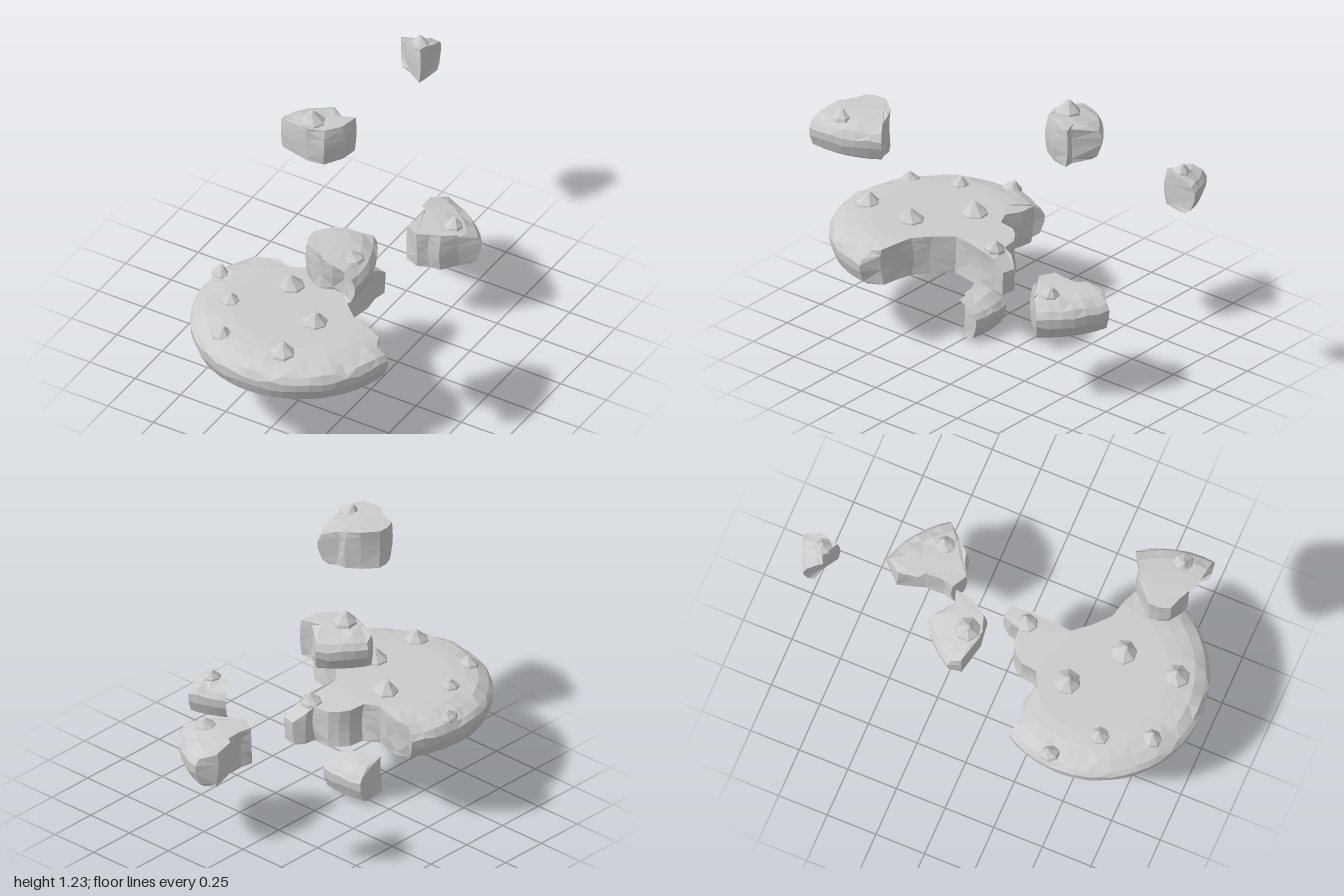
import * as THREE from 'three';

const material = new THREE.MeshStandardMaterial({ color: 0xcccccc, flatShading: true, side: THREE.DoubleSide });
const RADIUS = 0.525;

// Biscuit cross-section from the base up to the flat top: x is radius, y is height
const PROFILE = [[0.47, 0], [0.5, 0.02], [0.522, 0.075], [RADIUS, 0.12], [0.505, 0.15], [0.455, 0.175], [0.39, 0.19], [0.33, 0.196]]
  .map(([r, y]) => new THREE.Vector2(r, y));

// Height of the domed top at a given radius
function topAt(r) {
  for (let i = 3; i < PROFILE.length - 1; i++) {
    const lower = PROFILE[i], upper = PROFILE[i + 1];
    if (r >= upper.x) {
      const t = THREE.MathUtils.clamp((lower.x - r) / (lower.x - upper.x), 0, 1);
      return THREE.MathUtils.lerp(lower.y, upper.y, t);
    }
  }
  return 0.196;
}

// Repeatable noise in -1..1
function noise(n) {
  const s = Math.sin(n * 127.1 + 11.7) * 43758.5453;
  return (s - Math.floor(s)) * 2 - 1;
}

// Outline of a fragment: an arc of the rim, then the break, with long breaks split roughly in two
function outline(cz, from, to, broken) {
  const points = [];
  const steps = Math.max(4, Math.ceil(Math.abs(to - from) / 7));
  for (let i = 0; i <= steps; i++) {
    const a = THREE.MathUtils.degToRad(from + (to - from) * i / steps);
    points.push({ x: Math.sin(a) * RADIUS, z: Math.cos(a) * RADIUS, rim: true });
  }
  broken.forEach(([x, z], i) => {
    const p = { x, z: z - cz, rim: false }, last = points[points.length - 1];
    if (i > 0 && Math.hypot(p.x - last.x, p.z - last.z) > 0.1) {
      points.push({
        x: (p.x + last.x) / 2 + 0.012 * noise(i + cz),
        z: (p.z + last.z) / 2 + 0.012 * noise(i + cz + 7),
        rim: false,
      });
    }
    points.push(p);
  });
  // counter-clockwise seen from above
  if (THREE.ShapeUtils.area(points.map(p => new THREE.Vector2(p.x, -p.z))) < 0) points.reverse();
  return points;
}

// Solid with a rounded rim and a rough broken wall; minR limits how far the rim slopes in
function fragmentGeometry(points, seed, minR, rough) {
  const pos = [], index = [], n = points.length, layers = PROFILE.length;
  for (const { x: radius, y } of PROFILE) {
    points.forEach((p, i) => {
      const r = Math.hypot(p.x, p.z);
      if (p.rim) {
        const wobble = y > 0.03 && y < 0.18 ? 0.008 * noise(seed + i + y * 90) : 0;
        const k = Math.max(radius, minR);
        pos.push(p.x * k / r, Math.min(y, topAt(k)) + wobble, p.z * k / r);
      } else {
        const h = Math.min(y, topAt(r)), t = h / 0.2, id = seed + i * 3;
        const bulge = Math.sin(Math.PI * t);
        const push = rough * (noise(id) * bulge + noise(id + 1) * (t - 0.5));
        pos.push(p.x + rough * noise(id + 2) * bulge, h, p.z + push);
      }
    });
  }
  for (let l = 0; l < layers - 1; l++) {
    for (let i = 0; i < n; i++) {
      const j = (i + 1) % n, a = l * n + i, b = l * n + j, c = b + n, d = a + n;
      if ((i + l) % 2) index.push(a, b, c, a, c, d);
      else index.push(a, b, d, b, c, d);
    }
  }
  // flat base and top
  const cap = layer => THREE.ShapeUtils.triangulateShape(points.map((_, i) => {
    const k = (layer * n + i) * 3;
    return new THREE.Vector2(pos[k], -pos[k + 2]);
  }), []);
  const top = (layers - 1) * n;
  cap(layers - 1).forEach(([a, b, c]) => index.push(top + a, top + b, top + c));
  cap(0).forEach(([a, b, c]) => index.push(c, b, a));

  const geometry = new THREE.BufferGeometry();
  geometry.setAttribute('position', new THREE.Float32BufferAttribute(pos, 3));
  geometry.setIndex(index);
  const flat = geometry.toNonIndexed();
  flat.computeVertexNormals();
  return flat;
}

// Pointed chip with a lopsided tip, leaning outward where the top curves down
function chip(x, z, radius, seed) {
  const height = radius * 0.9;
  const profile = [[1, -0.25], [0.92, 0.12], [0.5, 0.55], [0.2, 0.93], [0, 1]];
  const geometry = new THREE.LatheGeometry(profile.map(([r, y]) => new THREE.Vector2(r * radius, y * height)), 7);
  const p = geometry.attributes.position;
  for (let i = 0; i < p.count; i++) {
    const t = Math.max(0, p.getY(i) / height);
    p.setX(i, p.getX(i) + t * 0.012 * noise(seed));
    p.setZ(i, p.getZ(i) + t * 0.012 * noise(seed + 1));
  }
  geometry.computeVertexNormals();
  const mesh = new THREE.Mesh(geometry, material);
  mesh.name = 'chip';
  const r = Math.hypot(x, z);
  mesh.position.set(x, topAt(r), z);
  const lean = Math.max(0, r - 0.36) * 2.5;
  mesh.rotation.set(lean * z / r, seed, -lean * x / r);
  return mesh;
}

// One fragment; cz is the centre of its rim, the arc is in degrees from the front,
// broken points are [x, z] and chips are [x, z, radius]
function fragment(name, { base, cz, from, to, broken, chips = [], minR = 0.33, rough = 0.014 }) {
  const seed = Math.round(cz * 100);
  const group = new THREE.Group();
  group.name = name;
  group.position.set(0, base, cz);
  const body = new THREE.Mesh(fragmentGeometry(outline(cz, from, to, broken), seed, minR, rough), material);
  body.name = name + 'Body';
  group.add(body);
  chips.forEach(([x, z, r], i) => group.add(chip(x, z - cz, r, seed + i * 5)));
  return group;
}

export function createModel() {
  const model = new THREE.Group();
  model.name = 'brokenBiscuit';
  const middle = 0.35, upper = 0.982;
  model.add(
    fragment('mainBiscuit', {
      base: middle, cz: 0.475, from: 83, to: -122,
      broken: [[-0.4, 0.23], [-0.28, 0.21], [-0.2, 0.24], [-0.13, 0.2], [-0.12, 0.12], [-0.04, 0.05], [0.04, 0.05],
        [0.08, -0.05], [0.155, -0.04], [0.15, 0.1], [0.12, 0.28], [0.27, 0.43], [0.43, 0.47]],
      chips: [[-0.47, 0.42, 0.05], [-0.12, 0.36, 0.07], [0.12, 0.55, 0.068], [-0.31, 0.61, 0.048],
        [0.11, 0.83, 0.064], [-0.22, 0.84, 0.05], [0.08, 0.07, 0.052]],
    }),
    fragment('backFragment', {
      base: middle, cz: -0.175, from: 164.5, to: 124.5,
      broken: [[0.35, -0.4], [0.29, -0.33], [0.18, -0.29], [0.11, -0.32], [0.12, -0.47], [0.08, -0.6]],
      chips: [[0.29, -0.44, 0.05]],
    }),
    fragment('upperRightFragment', {
      base: upper, cz: 0.15, from: -120.4, to: -148,
      broken: [[-0.16, -0.2], [-0.11, -0.21], [-0.125, -0.12], [-0.18, -0.04], [-0.26, -0.02], [-0.42, -0.06]],
      chips: [[-0.27, -0.085, 0.066]],
    }),
    fragment('upperLeftFragment', {
      base: upper, cz: 0.787, from: 125.5, to: 83.5,
      broken: [[0.42, 0.78], [0.3, 0.8], [0.2, 0.75], [0.18, 0.65], [0.24, 0.58], [0.35, 0.53]],
      chips: [[0.44, 0.72, 0.052]],
    }),
    fragment('upperBackCrumb', {
      base: upper, cz: -0.487, from: -147, to: -168, minR: 0.43,
      broken: [[-0.11, -0.86], [-0.12, -0.82], [-0.2, -0.87]],
      chips: [[-0.15, -0.88, 0.045]],
    }),
    fragment('lowerCrumb', {
      base: 0, cz: 0.685, from: -165.5, to: -191, minR: 0.4, rough: 0.025,
      broken: [[0.06, 0.28], [-0.05, 0.32], [-0.11, 0.35], [-0.12, 0.27]],
    }),
  );
  return model;
}
